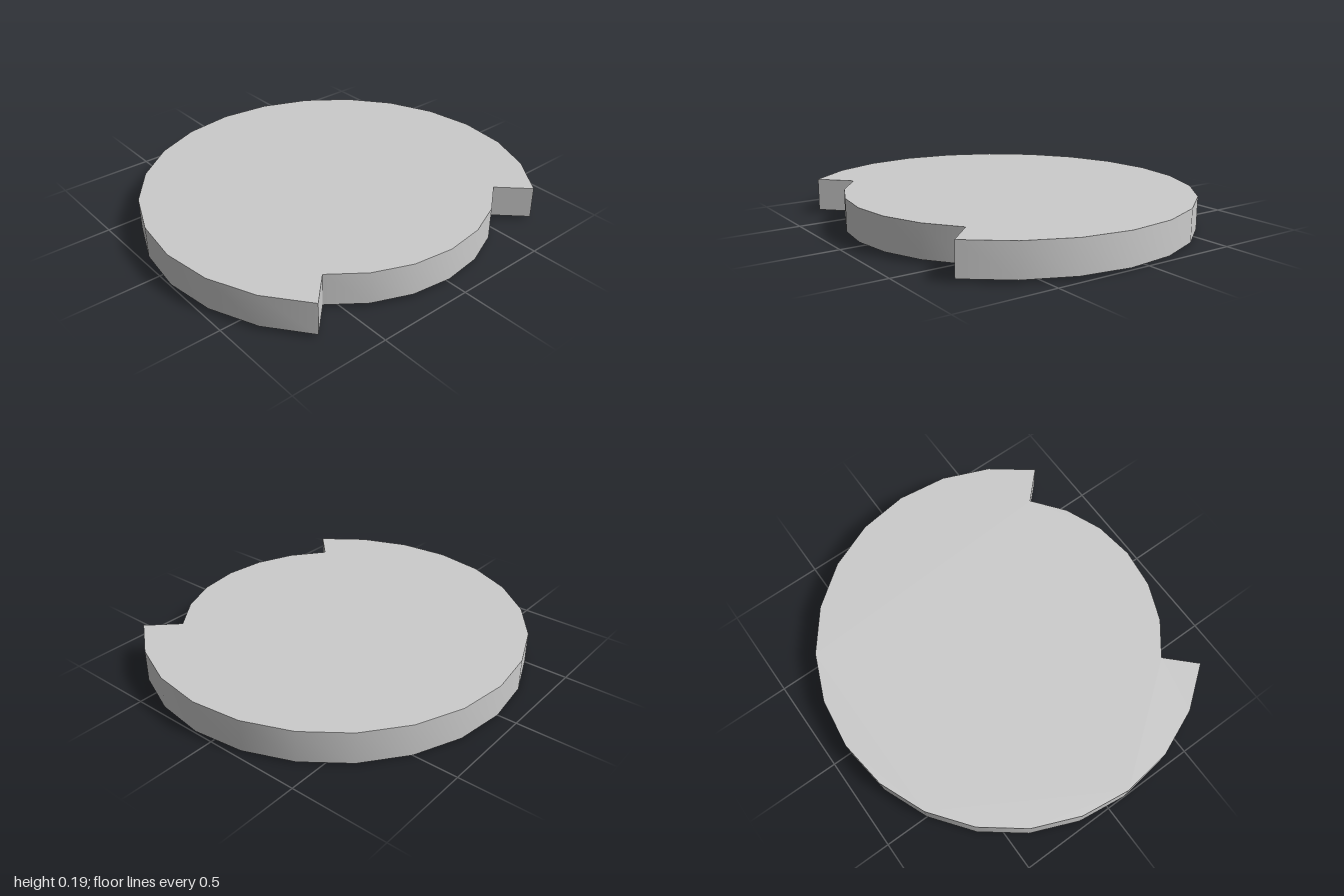
import * as THREE from 'three';
import { toCreasedNormals } from 'three/addons/utils/BufferGeometryUtils.js';

const SEGMENTS = 24;
const THICKNESS = 0.167;
const TILT = 0.0105;

// Arc points on a 24-sided circle, from one step index to another
function arc(radius, from, to) {
  const points = [];
  for (let i = from; i <= to; i++) {
    const a = (i / SEGMENTS) * Math.PI * 2;
    points.push(new THREE.Vector2(0.1 + radius * Math.cos(a), radius * Math.sin(a)));
  }
  return points;
}

export function createModel() {
  const group = new THREE.Group();
  group.name = 'notchedDisc';

  // Full-radius rim over three quarters, set-back rim over the last quarter
  const outline = new THREE.Shape([...arc(0.8, -3, 3), ...arc(1, 3, 21)]);
  const extruded = new THREE.ExtrudeGeometry(outline, { depth: THICKNESS, bevelEnabled: false });
  extruded.rotateX(-Math.PI / 2);

  // Slight tilt, rising towards the set-back side
  extruded.rotateZ(TILT);
  extruded.computeBoundingBox();
  const { min, max } = extruded.boundingBox;
  extruded.translate(-(min.x + max.x) / 2, -min.y, 0);

  // Smooth rim, sharp edges at the steps and faces
  const disc = new THREE.Mesh(
    toCreasedNormals(extruded, Math.PI / 6),
    new THREE.MeshStandardMaterial({ color: 0xcccccc })
  );
  disc.name = 'disc';
  group.add(disc);
  return group;
}
